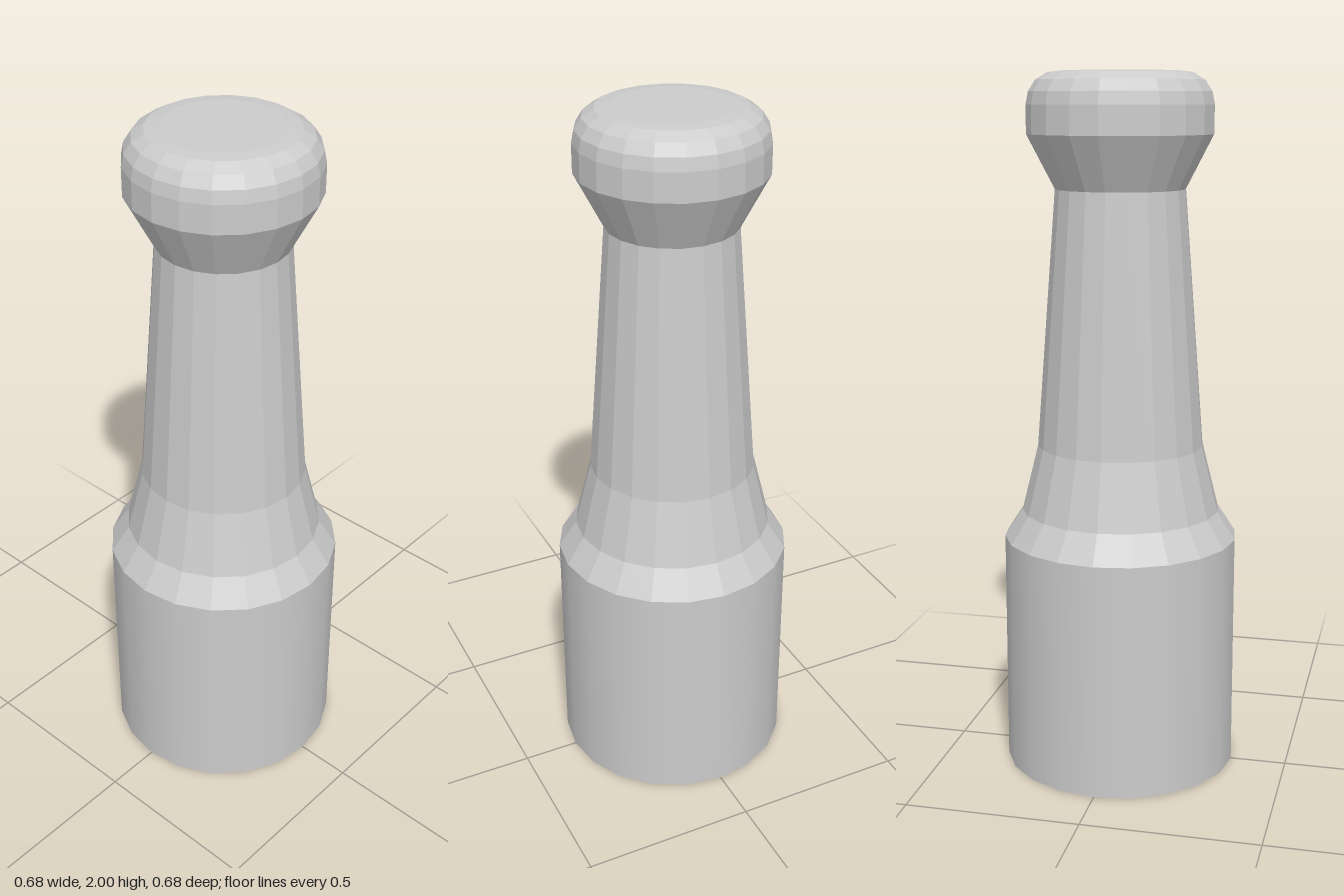
import * as THREE from 'three';

const SIDES = 20;

// Faceted solid of revolution from [radius, height] pairs, bottom to top
function turned(name, profile) {
  const points = profile.map(([r, y]) => new THREE.Vector2(r, y));
  const geometry = new THREE.LatheGeometry(points, SIDES);
  const material = new THREE.MeshStandardMaterial({ color: 0xcccccc, flatShading: true });
  const mesh = new THREE.Mesh(geometry, material);
  mesh.name = name;
  return mesh;
}

export function createModel() {
  const group = new THREE.Group();
  group.name = 'turnedPeg';

  // Smooth cylindrical base
  const base = new THREE.Mesh(
    new THREE.CylinderGeometry(0.338, 0.338, 0.68, SIDES),
    new THREE.MeshStandardMaterial({ color: 0xcccccc })
  );
  base.name = 'base';
  base.position.y = 0.34;
  group.add(base);

  // Sloping shoulder and tapered neck
  group.add(turned('neck', [[0.338, 0.68], [0.286, 0.76], [0.239, 0.95], [0.184, 1.68]]));

  // Flared head with a rounded rim and flat top
  group.add(turned('head', [
    [0.184, 1.68], [0.262, 1.83], [0.262, 1.91], [0.255, 1.945],
    [0.235, 1.976], [0.202, 1.996], [0.165, 2], [0, 2],
  ]));

  return group;
}
